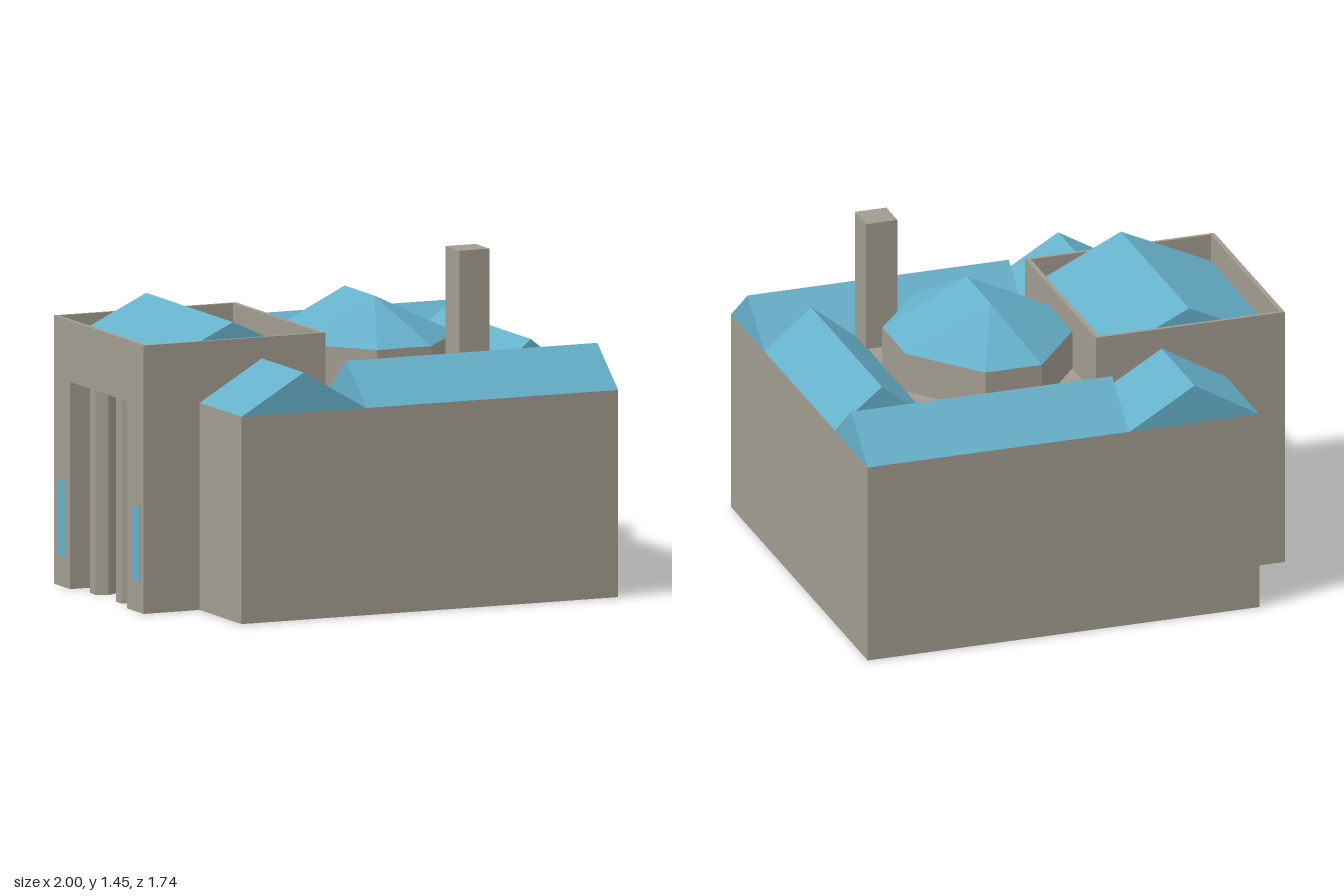
import * as THREE from 'three';
import { ConvexGeometry } from 'three/addons/geometries/ConvexGeometry.js';

const stone = new THREE.MeshStandardMaterial({ color: 0xa29c8f, flatShading: true });
const tile = new THREE.MeshStandardMaterial({ color: 0x66b0ca, flatShading: true });

const EAVES = 0.88, RIDGE = 1.05;

function add(parent, name, geometry, material) {
  const mesh = new THREE.Mesh(geometry, material);
  mesh.name = name;
  parent.add(mesh);
  return mesh;
}

// Box given by its limits on each axis
function block(parent, name, [x0, x1], [y0, y1], [z0, z1], material = stone) {
  const g = new THREE.BoxGeometry(x1 - x0, y1 - y0, z1 - z0);
  g.translate((x0 + x1) / 2, (y0 + y1) / 2, (z0 + z1) / 2);
  return add(parent, name, g, material);
}

// Gable roof with upright ends, ridge running along 'x' or 'z'
function gable(parent, name, [x0, x1], [z0, z1], y, top, axis) {
  const alongX = axis === 'x';
  const length = alongX ? x1 - x0 : z1 - z0;
  const half = (alongX ? z1 - z0 : x1 - x0) / 2;
  const shape = new THREE.Shape([[-half, 0], [half, 0], [0, top - y]].map(p => new THREE.Vector2(...p)));
  const g = new THREE.ExtrudeGeometry(shape, { depth: length, bevelEnabled: false });
  g.translate(0, 0, -length / 2);
  if (alongX) g.rotateY(Math.PI / 2);
  g.translate((x0 + x1) / 2, y, (z0 + z1) / 2);
  return add(parent, name, g, tile);
}

// Plan outline (x, z) raised from y0 to y1
function raise(shape, y0, y1) {
  const g = new THREE.ExtrudeGeometry(shape, { depth: y1 - y0, bevelEnabled: false });
  g.rotateX(-Math.PI / 2);
  g.translate(0, y0, 0);
  return g;
}

function rectangle(Type, x0, x1, z) {
  return new Type([[x0, -z], [x1, -z], [x1, z], [x0, z]].map(p => new THREE.Vector2(...p)));
}

export function createModel() {
  const model = new THREE.Group();
  model.name = 'courtyardBuilding';

  // Main block and the roofs of its wings
  block(model, 'mainBlock', [-0.74, 1], [0, EAVES], [-0.87, 0.87]);
  for (const [side, z] of [['front', [0.45, 0.87]], ['back', [-0.87, -0.45]]]) {
    gable(model, side + 'WingRoof', [-0.16, 1], z, EAVES, RIDGE, 'x');
    gable(model, side + 'CornerRoof', [-0.74, -0.165], z, EAVES, RIDGE, 'z');
  }
  gable(model, 'endWingRoof', [0.58, 1], [-0.45, 0.45], EAVES, RIDGE, 'z');

  // Long octagonal hall with a hipped roof
  const hall = new THREE.Group();
  hall.name = 'octagonalHall';
  model.add(hall);
  const octagon = [
    [-0.16, -0.15], [0.08, -0.45], [0.33, -0.45], [0.58, -0.15],
    [0.58, 0.15], [0.33, 0.45], [0.08, 0.45], [-0.16, 0.15],
  ];
  const plan = new THREE.Shape(octagon.map(p => new THREE.Vector2(...p)));
  add(hall, 'hallWalls', raise(plan, EAVES, RIDGE), stone);
  const roofPoints = octagon.map(([x, z]) => new THREE.Vector3(x, RIDGE, z));
  roofPoints.push(new THREE.Vector3(0.205, 1.23, -0.15), new THREE.Vector3(0.205, 1.23, 0.15));
  add(hall, 'hallRoof', new ConvexGeometry(roofPoints), tile);

  block(model, 'chimney', [0.45, 0.59], [EAVES, 1.45], [0.33, 0.47]);

  // Gatehouse: parapet ring around a sunken roof, over an open porch
  const gatehouse = new THREE.Group();
  gatehouse.name = 'gatehouse';
  model.add(gatehouse);
  const ring = rectangle(THREE.Shape, -1, -0.16, 0.45);
  ring.holes.push(rectangle(THREE.Path, -0.98, -0.18, 0.435));
  add(gatehouse, 'parapet', raise(ring, EAVES, 1.14), stone);
  block(gatehouse, 'porchCeiling', [-0.98, -0.18], [EAVES, 1.02], [-0.435, 0.435]);
  gable(gatehouse, 'gatehouseRoof', [-0.98, -0.18], [-0.435, 0.435], 1.02, 1.21, 'z');

  // Piers with windows and columns, mirrored about the porch
  for (const [side, s] of [['front', 1], ['back', -1]]) {
    const span = (a, b) => [Math.min(a * s, b * s), Math.max(a * s, b * s)];
    block(gatehouse, side + 'Pier', [-1, -0.74], [0, EAVES], span(0.285, 0.45));
    block(gatehouse, side + 'Window', [-1.002, -0.99], [0.13, 0.45], span(0.33, 0.41), tile);
    const column = new THREE.CylinderGeometry(0.055, 0.055, EAVES, 6);
    column.translate(-0.92, EAVES / 2, 0.13 * s);
    add(gatehouse, side + 'Column', column, stone);
  }

  return model;
}
